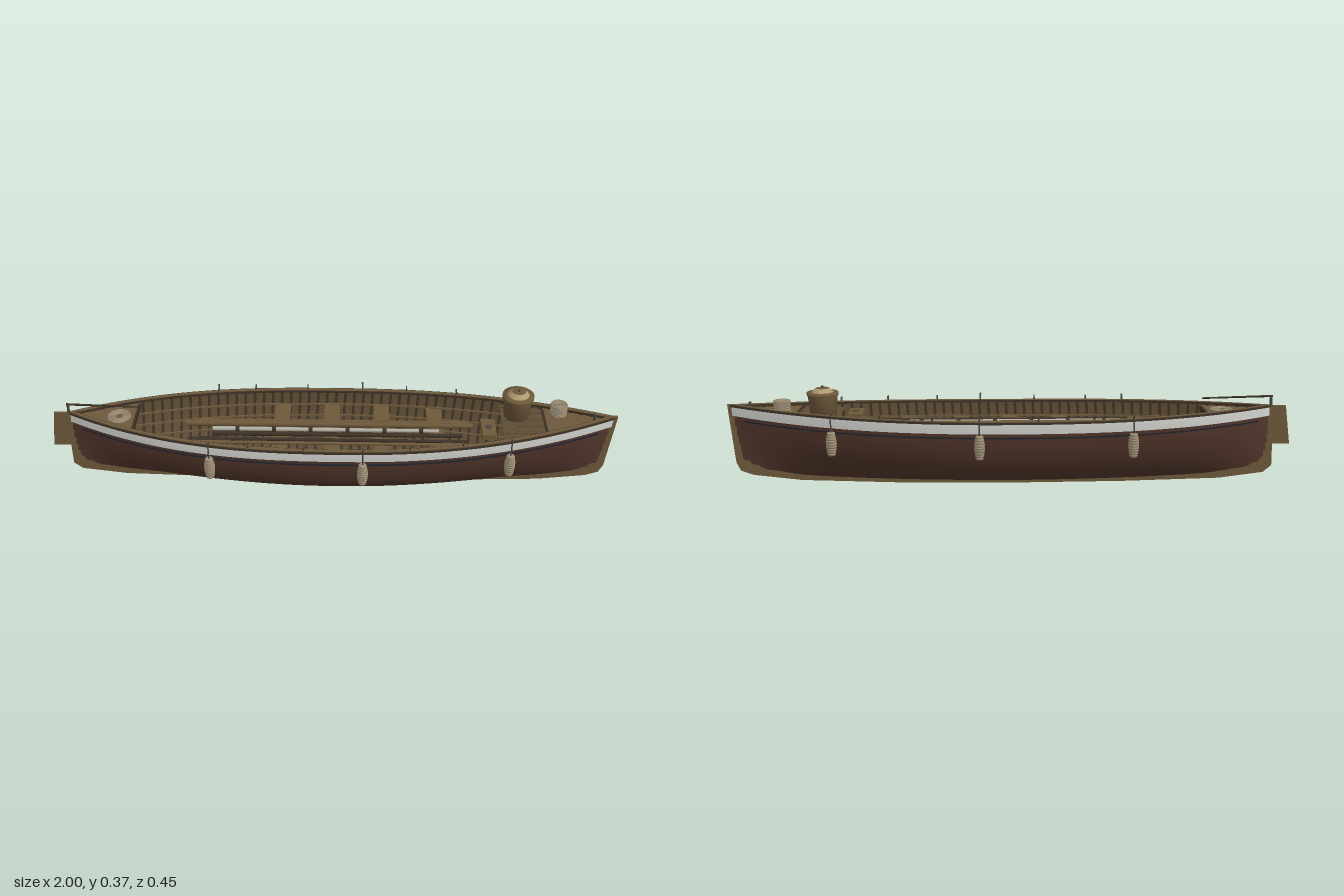
import * as THREE from 'three';

const mat = (name, color, side = THREE.FrontSide) => {
  const m = new THREE.MeshStandardMaterial({ color, side });
  m.name = name;
  return m;
};

export function createModel() {
  const D = THREE.DoubleSide;
  const M = {
    hull: mat('hull brown', 0x50352a, D), white: mat('band white', 0xd4d4d0, D),
    navy: mat('stripe navy', 0x20232e), wood: mat('wood', 0x6e593b, D),
    dark: mat('dark wood', 0x3d3226, D), inner: mat('lining wood', 0x5f4d34, D),
    rope: mat('rope', 0x9a8d74), iron: mat('iron', 0x4a473f),
    sail: mat('canvas', 0xb4b1a5), lid: mat('pale wood', 0xb09a72, D),
  };
  const model = new THREE.Group();
  model.name = 'boat';
  const add = (name, geo, m, x = 0, y = 0, z = 0) => {
    const mesh = new THREE.Mesh(geo, m);
    mesh.name = name;
    mesh.position.set(x, y, z);
    model.add(mesh);
    return mesh;
  };
  const box = (name, w, h, d, m, x, y, z) => add(name, new THREE.BoxGeometry(w, h, d), m, x, y, z);
  const rod = (name, a, b, r, m, r2 = r) => {
    const A = new THREE.Vector3(...a), B = new THREE.Vector3(...b), dir = B.clone().sub(A);
    const mesh = add(name, new THREE.CylinderGeometry(r2, r, dir.length(), 8), m);
    mesh.position.copy(A.add(B).multiplyScalar(0.5));
    mesh.quaternion.setFromUnitVectors(new THREE.Vector3(0, 1, 0), dir.normalize());
  };

  // Hull lines: s runs stern (-1) to bow (1), u runs keel (0) to rail (1)
  const beam = s => 0.192 * (1 - Math.abs(s) ** (s > 0 ? 2.25 : 2.6));
  const sheer = s => 0.261 + (s > 0 ? 0.025 : 0.016) * s * s;
  const keelY = s => 0.021 + 0.036 * s ** 4;
  const fullness = s => 0.82 + 1.5 * s * s;
  const point = (s, u, off = 0) => {
    const a = u * Math.PI / 2, f = 1 - Math.cos(a);
    const x0 = -0.93 + 0.005 * f, x1 = 0.965 + 0.025 * f;
    return [x0 + (x1 - x0) * (s + 1) / 2,
      keelY(s) + (sheer(s) - keelY(s)) * f - off * Math.cos(a),
      Math.max(0, beam(s) * Math.sin(a) ** fullness(s) + off * Math.sin(a))];
  };
  const sAt = x => (x + 0.93) / 1.92 * 2 - 1;
  const widthAt = (s, y) => {
    const c = 1 - Math.min(1, Math.max(0, (y - keelY(s)) / (sheer(s) - keelY(s))));
    return beam(s) * Math.sqrt(1 - c * c) ** fullness(s);
  };

  // Surface from a grid of points
  const grid = (ni, nj, fn, flip = false) => {
    const pos = [], idx = [];
    for (let i = 0; i <= ni; i++) for (let j = 0; j <= nj; j++) pos.push(...fn(i / ni, j / nj));
    for (let i = 0; i < ni; i++) for (let j = 0; j < nj; j++) {
      const a = i * (nj + 1) + j, b = a + nj + 1;
      if (flip) idx.push(a, a + 1, b, b, a + 1, b + 1);
      else idx.push(a, b, a + 1, b, b + 1, a + 1);
    }
    const g = new THREE.BufferGeometry();
    g.setAttribute('position', new THREE.Float32BufferAttribute(pos, 3));
    g.setIndex(idx);
    g.computeVertexNormals();
    return g;
  };
  const skin = (name, m, side, u0, u1, o0, o1, s0 = -1, s1 = 1, ni = 56, nj = 4, inward = false) =>
    add(name, grid(ni, nj, (i, j) => {
      const p = point(s0 + (s1 - s0) * i, u0 + (u1 - u0) * j, o0 + (o1 - o0) * j);
      return [p[0], p[1], p[2] * side];
    }, (side < 0) !== inward), m);
  // Rectangular strip following the hull at height u
  const strip = (name, m, side, u, zIn, zOut, yLow, yHigh, s0 = -1, s1 = 1) => {
    const c = [[zOut, yLow], [zOut, yHigh], [zIn, yHigh], [zIn, yLow], [zOut, yLow]];
    const g = grid(56, 4, (i, j) => {
      const p = point(s0 + (s1 - s0) * i, u), k = c[Math.round(j * 4)];
      return [p[0], p[1] + k[1], side * Math.max(0, p[2] + k[0])];
    }, side < 0).toNonIndexed();
    g.computeVertexNormals();
    add(name, g, m);
  };
  // Flat boards at height y(s) between two z limits, trimmed to the hull
  const board = (name, m, s0, s1, z0, z1, y, inset) => add(name, grid(30, 1, (i, j) => {
    const s = s0 + (s1 - s0) * i, w = Math.max(0, widthAt(s, y(s)) - inset);
    return [point(s, 0.8)[0], y(s), Math.max(-w, Math.min(w, j ? z0 : z1))];
  }, true), m);

  const STRAKES = 9, TOP = 0.905;
  for (const side of [1, -1]) {
    // Overlapping planks, white band and rails
    for (let k = 0; k < STRAKES; k++) {
      const u0 = TOP * k / STRAKES, u1 = TOP * (k + 1) / STRAKES;
      skin('plank', M.hull, side, u0, u1, 0.003, 0);
      skin('plankEdge', M.hull, side, u0, u0, 0, 0.003, -1, 1, 56, 1);
    }
    skin('whiteBand', M.white, side, TOP, 1, 0.004, 0.003);
    skin('bandEdge', M.dark, side, TOP, TOP, 0, 0.004, -1, 1, 56, 1);
    strip('rail', M.dark, side, 1, -0.016, 0.006, -0.003, 0.004);
    strip('railCap', M.wood, side, 1, -0.012, 0.001, 0.004, 0.006);
    strip('rubbingStrip', M.navy, side, 0.865, 0, 0.006, -0.0025, 0.002, -0.95, 0.95);
    // Lining, ribs and stringers
    skin('lining', M.inner, side, 0.1, 1, -0.006, -0.006, -0.99, 0.99, 56, 10, true);
    for (let k = 0; k < 54; k++) {
      const s = -0.92 + k * 0.0347;
      skin('rib', M.dark, side, 0.25, 1, -0.011, -0.011, s - 0.005, s + 0.005, 1, 8, true);
    }
    for (const u of [0.5, 0.62, 0.74, 0.86])
      strip('stringer', M.wood, side, u, -0.016, -0.01, -0.003, 0.003, -0.88, 0.88);
  }

  // Keel, stem and sternpost in one thin piece
  const outline = [[-0.935, 0.28], [-0.94, 0.06], [-0.91, 0.035], [-0.75, 0.014], [-0.4, 0.004], [0, 0],
    [0.4, 0.003], [0.75, 0.014], [0.92, 0.034], [0.965, 0.05], [0.98, 0.08], [1, 0.292], [0.982, 0.292],
    [0.955, 0.09], [0.6, 0.045], [-0.6, 0.045], [-0.905, 0.09], [-0.915, 0.28]];
  const slab = (name, pts, depth, m) => {
    const g = new THREE.ExtrudeGeometry(new THREE.Shape(pts.map(p => new THREE.Vector2(...p))),
      { depth, bevelEnabled: false });
    g.translate(0, 0, -depth / 2);
    add(name, g, m);
  };
  slab('keel', outline, 0.01, M.wood);

  // Rudder and tiller
  slab('rudder', [[-0.98, 0.28], [-1, 0.14], [-0.937, 0.14], [-0.932, 0.28]], 0.007, M.wood);
  rod('rudderPost', [-0.928, 0.27, 0], [-0.926, 0.316, 0], 0.005, M.iron);
  rod('tiller', [-0.932, 0.314, 0], [-0.68, 0.307, 0], 0.004, M.dark, 0.003);

  // Floor boards, end decks and the lower deck under the tub
  for (let k = -2; k <= 2; k++)
    board('floorBoard', M.inner, -0.82, 0.82, k * 0.028 - 0.012, k * 0.028 + 0.012, () => 0.068, 0.008);
  for (const [s0, s1] of [[-0.985, -0.76], [0.76, 0.985]]) {
    board('endDeck', M.wood, s0, s1, -0.2, 0.2, s => sheer(s) - 0.008, 0.006);
    const s = s0 < 0 ? s1 : s0, w = beam(s) * 2 - 0.02;
    box('deckBeam', 0.014, 0.02, w, M.dark, point(s, 0.8)[0], sheer(s) - 0.019, 0);
  }
  for (let k = -3; k <= 3; k++)
    board('tubDeckBoard', M.inner, 0.6, 0.76, k * 0.04 - 0.0185, k * 0.04 + 0.0185, s => sheer(s) - 0.014, 0.008);

  // Thwarts and mast clamp
  for (const x of [-0.18, 0, 0.18, 0.37])
    box('thwart', 0.056, 0.01, (widthAt(sAt(x), 0.205) - 0.012) * 2, M.wood, x, 0.205, 0);
  box('mastClamp', 0.05, 0.02, 0.1, M.wood, 0.55, 0.25, 0.028);
  add('mastHole', new THREE.CylinderGeometry(0.012, 0.012, 0.003, 12), M.iron, 0.55, 0.261, 0.028);

  // Spars, furled sail and oars stowed along the middle
  rod('mast', [-0.52, 0.225, -0.025], [0.5, 0.225, -0.025], 0.012, M.wood, 0.009);
  rod('yard', [-0.42, 0.224, 0.035], [0.46, 0.224, 0.035], 0.009, M.dark, 0.007);
  rod('furledSail', [-0.42, 0.225, 0.008], [0.38, 0.225, 0.008], 0.008, M.sail, 0.006);
  for (let k = 0; k < 6; k++)
    rod('sailTie', [-0.34 + k * 0.13, 0.225, 0.008], [-0.326 + k * 0.13, 0.225, 0.008], 0.0092, M.dark);
  for (const [z, dir, m] of [[-0.055, 1, M.wood], [0.058, -1, M.dark], [0.078, 1, M.wood]]) {
    rod('oarShaft', [-0.48 * dir, 0.217, z], [0.36 * dir, 0.217, z], 0.006, m);
    add('oarBlade', new THREE.SphereGeometry(1, 10, 6), m, 0.42 * dir, 0.217, z).scale.set(0.09, 0.003, 0.013);
  }

  // Tub with stepped pale lid
  const lathe = (name, pts, m, x, y, z) =>
    add(name, new THREE.LatheGeometry(pts.map(p => new THREE.Vector2(...p)), 20), m, x, y, z);
  lathe('tub', [[0, 0.245], [0.043, 0.245], [0.052, 0.335]], M.wood, 0.655, 0, -0.05);
  lathe('tubRim', [[0.052, 0.334], [0.055, 0.334], [0.055, 0.345], [0.036, 0.346]], M.wood, 0.655, 0, -0.05);
  lathe('tubLid', [[0.039, 0.345], [0.024, 0.359]], M.lid, 0.655, 0, -0.05);
  lathe('lidTop', [[0.024, 0.359], [0, 0.36]], M.wood, 0.655, 0, -0.05);
  add('lidKnob', new THREE.CylinderGeometry(0.004, 0.004, 0.01, 8), M.iron, 0.655, 0.362, -0.05);

  // Rope coils
  const coil = (x, y, z, r, n) => {
    for (let k = 0; k < n; k++) for (let c = 0; c < 4; c++)
      add('ropeCoil', new THREE.TorusGeometry(r - c * 0.007, 0.0035, 6, 20), M.rope, x, y + k * 0.007, z).rotation.x = Math.PI / 2;
  };
  coil(0.8, 0.276, -0.04, 0.027, 6);
  coil(-0.75, 0.266, 0, 0.038, 1);

  // Mooring bitt near the bow
  rod('bittPost', [0.92, 0.27, 0], [0.92, 0.3, 0], 0.005, M.iron);
  rod('bittBar', [0.92, 0.294, -0.012], [0.92, 0.294, 0.012], 0.003, M.iron);

  // Fenders hung from the rail
  const profile = [[0, 0.14], [0.011, 0.14]];
  for (let k = 0; k < 9; k++) {
    const r = 0.013 + 0.006 * Math.sin(Math.PI * (k + 0.5) / 9), y = 0.141 + k * 0.009;
    profile.push([r - 0.002, y], [r, y + 0.003], [r, y + 0.006], [r - 0.002, y + 0.009]);
  }
  profile.push([0, 0.223]);
  for (const side of [1, -1]) {
    for (const x of [-0.415, 0.11, 0.618]) {
      const s = sAt(x), b = beam(s), z = side * (b + 0.013);
      lathe('fender', profile, M.rope, x, 0, z);
      rod('fenderHanger', [x, 0.22, z], [x, 0.285, z], 0.0025, M.iron);
      rod('fenderHook', [x, 0.285, z], [x, sheer(s) + 0.006, side * (b - 0.008)], 0.0025, M.iron);
      add('hookKnob', new THREE.SphereGeometry(0.004, 8, 6), M.iron, x, 0.285, z);
    }
    // Rowlocks
    for (const x of [-0.28, -0.09, 0.27, 0.45]) {
      const s = sAt(x), y = sheer(s), z = side * (beam(s) - 0.004);
      rod('rowlockPin', [x, y, z], [x, y + 0.012, z], 0.003, M.iron);
      const fork = add('rowlockFork', new THREE.TorusGeometry(0.01, 0.0025, 6, 10, Math.PI), M.iron, x, y + 0.022, z);
      fork.rotation.set(0, Math.PI / 2, Math.PI, 'YXZ');
    }
  }
  return model;
}
